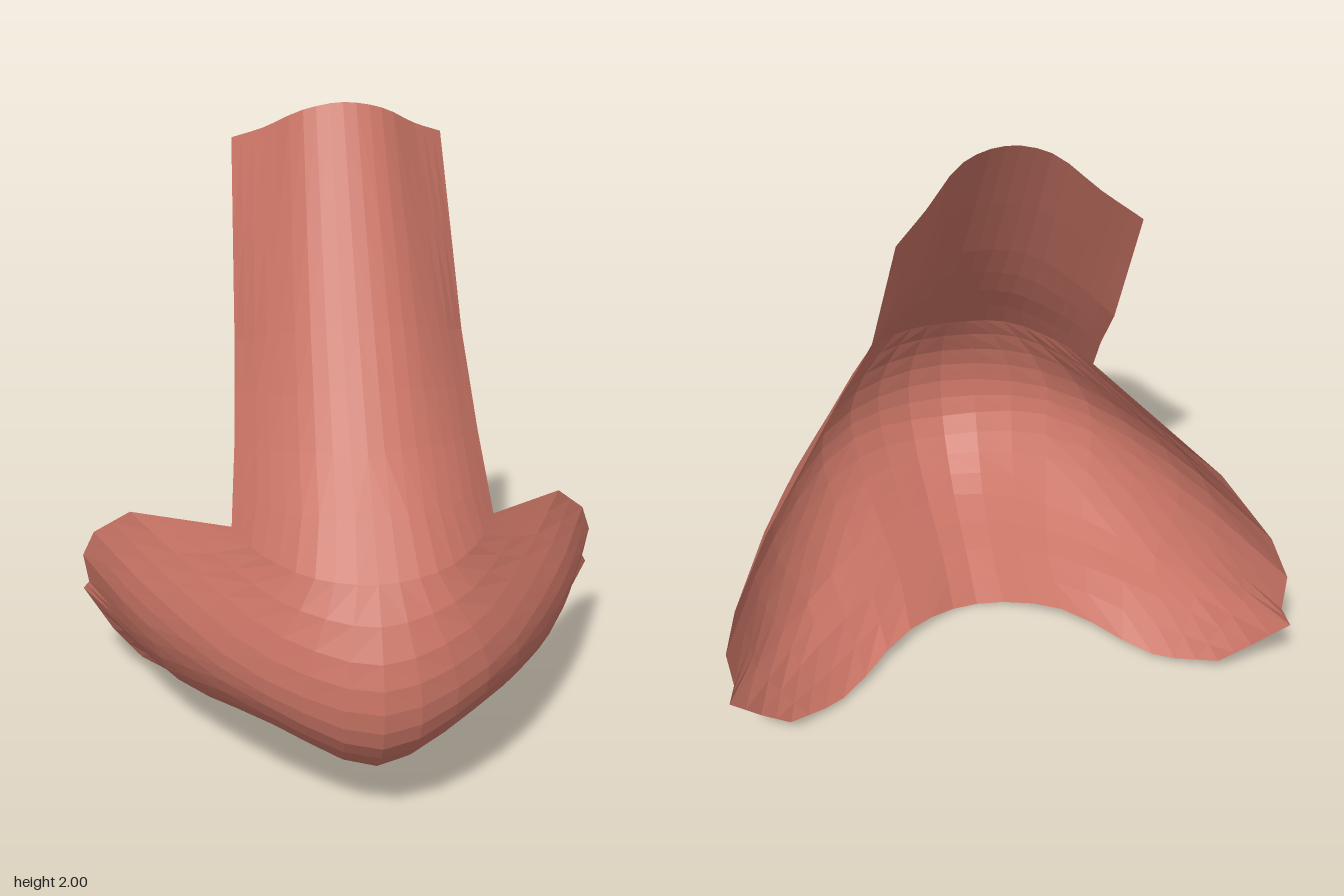
import * as THREE from 'three';

const V = (p) => new THREE.Vector3(...p);

// Lengthwise guide lines of one half, from the top of the bridge to the base
const ridge = [[0, 2, -.41], [0, 1.41, -.02], [0, 1.1, .22], [0, .8, .47], [0, .6, .59], [0, .45, .62],
  [0, .32, .59], [0, .22, .5], [0, .14, .38], [0, .07, .17], [0, 0, -.02]];
const shoulder = [[.12, 1.975, -.43], [.14, 1.4, -.05], [.15, 1.1, .18], [.18, .81, .43], [.28, .64, .46], [.335, .5, .45],
  [.33, .4, .43], [.31, .29, .34], [.28, .2, .2], [.25, .13, .03], [.25, .07, -.17]];
const cheek = [[.235, 1.9, -.52], [.265, 1.35, -.15], [.28, 1.07, .08], [.32, .82, .28], [.5, .68, .1], [.62, .55, 0],
  [.66, .43, -.06], [.63, .31, -.08], [.57, .2, -.12], [.55, .15, -.26], [.5, .03, -.39]];
const rim = [[.33, 1.85, -.6], [.355, 1.3, -.27], [.375, 1.05, -.06], [.4, .84, .11], [.7, .7, -.34], [.82, .56, -.5],
  [.86, .45, -.56], [.845, .34, -.58], [.865, .3, -.615], [.77, .17, -.55], [.68, .08, -.51]];

const SPANS = ridge.length - 1;
const ROWS = SPANS * 2;
const COLS = 18;

// Smooth guide lines, except the open rim, which keeps its corners
function smoothLine(points) {
  const curve = new THREE.CatmullRomCurve3(points.map(V));
  return (t) => curve.getPoint(t);
}
function straightLine(points) {
  return (t) => {
    const i = Math.min(Math.floor(t * SPANS + 1e-6), SPANS - 1);
    return V(points[i]).lerp(V(points[i + 1]), t * SPANS - i);
  };
}

// Open shell skinned across the mirrored guide lines
function shellGeometry() {
  const half = [smoothLine(shoulder), smoothLine(cheek), straightLine(rim)];
  const middle = smoothLine(ridge);
  const positions = [];
  const index = [];
  for (let r = 0; r <= ROWS; r++) {
    const t = r / ROWS;
    const left = half.map((line) => line(t));
    const right = left.map((p) => new THREE.Vector3(-p.x, p.y, p.z)).reverse();
    const section = new THREE.CatmullRomCurve3([...right, middle(t), ...left]);
    for (let c = 0; c <= COLS; c++) {
      positions.push(...section.getPoint(c / COLS).toArray());
      if (r === ROWS || c === COLS) continue;
      const a = r * (COLS + 1) + c;
      const b = a + COLS + 1;
      // Mirror the quad diagonals about the middle
      if (c < COLS / 2) index.push(a, b, a + 1, b, b + 1, a + 1);
      else index.push(a, b, b + 1, a, b + 1, a + 1);
    }
  }
  const geometry = new THREE.BufferGeometry();
  geometry.setAttribute('position', new THREE.Float32BufferAttribute(positions, 3));
  geometry.setIndex(index);
  geometry.computeVertexNormals();
  return geometry;
}

export function createModel() {
  const group = new THREE.Group();
  group.name = 'nose';
  const skin = new THREE.MeshStandardMaterial({ color: 0xc97465, flatShading: true, side: THREE.DoubleSide });
  skin.name = 'skin';
  const shell = new THREE.Mesh(shellGeometry(), skin);
  shell.name = 'noseShell';
  group.add(shell);
  return group;
}
